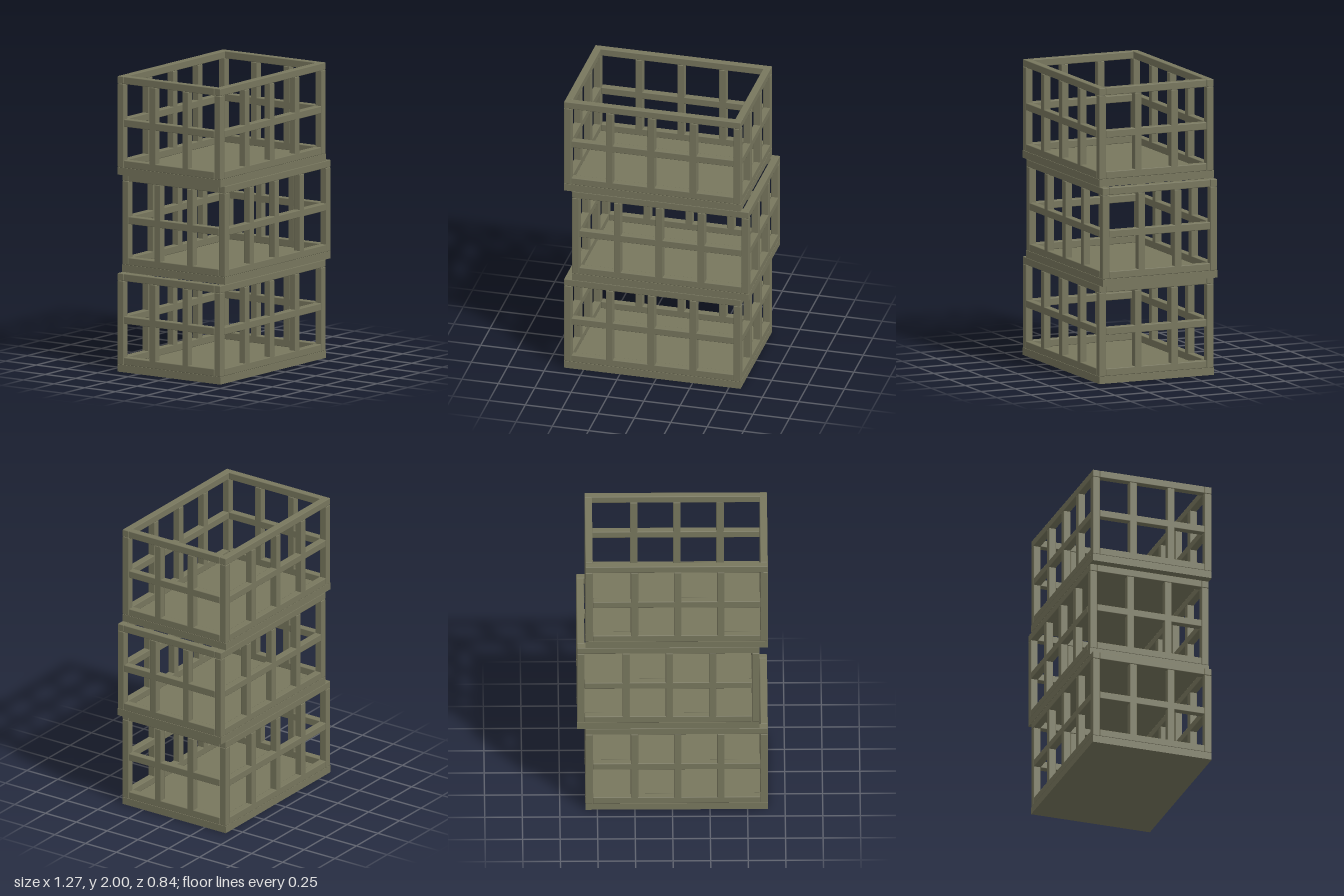
import * as THREE from 'three';
import { RoundedBoxGeometry } from 'three/addons/geometries/RoundedBoxGeometry.js';

const W = 1.215, D = 0.84, H = 2 / 3; // outer size of one crate
const T = 0.05;                       // bar thickness
const SHIFT = 0.0275;                 // sideways stagger of the stack

const olive = new THREE.MeshStandardMaterial({ color: 0x78775e });
olive.name = 'olive';

// A bar with slightly eased edges, added to a crate
function bar(crate, name, w, h, d, x, y, z) {
  const mesh = new THREE.Mesh(new RoundedBoxGeometry(w, h, d, 1, 0.005), olive);
  mesh.name = name;
  mesh.position.set(x, y, z);
  crate.add(mesh);
}

function createCrate() {
  const crate = new THREE.Group();
  const ex = W / 2 - T / 2, ez = D / 2 - T / 2;

  // Solid floor slab
  const floor = new THREE.Mesh(new THREE.BoxGeometry(W, T, D), olive);
  floor.name = 'floor';
  floor.position.y = T / 2;
  crate.add(floor);

  // Uprights run from the floor to the underside of the rim
  const postH = H - 2 * T, postY = T + postH / 2;
  const rails = [['lowerRail', 0.075], ['middleRail', 0.353], ['rim', H - T / 2]];

  for (const s of [-1, 1]) {
    // Corner posts
    for (const t of [-1, 1]) bar(crate, 'cornerPost', T, postH, T, s * ex, postY, t * ez);
    // Slats of the long and short walls
    for (const x of [-0.295, -0.0075, 0.28]) bar(crate, 'longWallSlat', T, postH, T, x, postY, s * ez);
    for (const z of [-0.133, 0.133]) bar(crate, 'shortWallSlat', T, postH, T, s * ex, postY, z);
    // Horizontal rails; the long ones cover the ends of the short ones
    for (const [name, y] of rails) {
      const length = name === 'rim' ? W : W - 2 * T;
      bar(crate, name, length, T, T, 0, y, s * ez);
      bar(crate, name, T, T, D - 2 * T, s * ex, y, 0);
    }
  }
  return crate;
}

export function createModel() {
  const model = new THREE.Group();
  model.name = 'crateStack';
  ['bottomCrate', 'middleCrate', 'topCrate'].forEach((name, i) => {
    const crate = createCrate();
    crate.name = name;
    crate.position.set(i === 1 ? SHIFT : -SHIFT, i * H, 0);
    model.add(crate);
  });
  return model;
}
